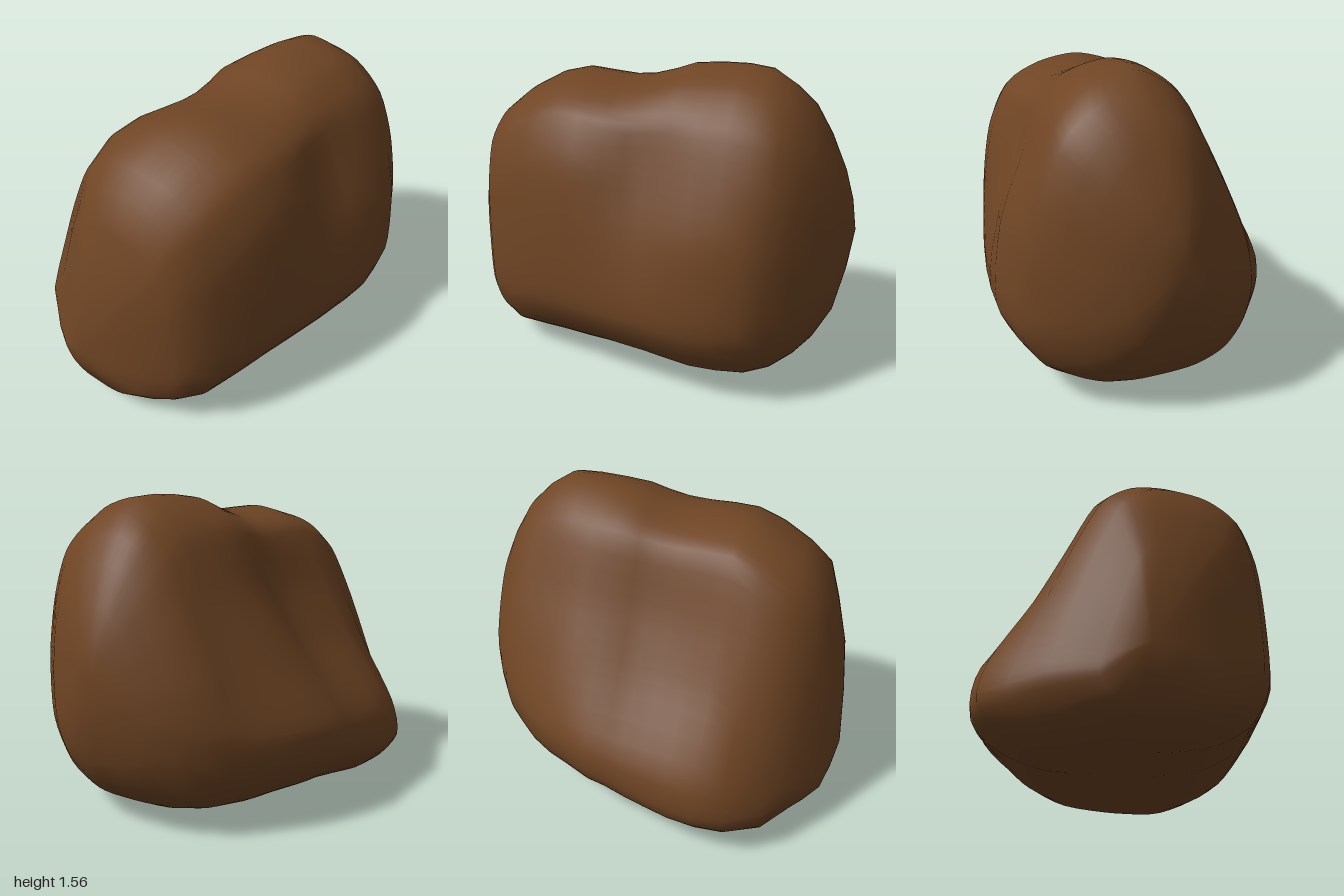
import * as THREE from 'three';

// Slices from front to back: z, left x, right x, bottom y, top y
const SLICES = [
  [0.975, -0.2, 0.08, 0.24, 0.64],
  [0.94, -0.29, 0.23, 0.12, 0.88],
  [0.87, -0.41, 0.38, 0.08, 1.09],
  [0.81, -0.49, 0.46, 0.05, 1.26],
  [0.7, -0.64, 0.53, 0, 1.35],
  [0.54, -0.75, 0.6, 0.005, 1.435],
  [0.4, -0.77, 0.645, 0.01, 1.475],
  [0.27, -0.765, 0.68, 0.02, 1.47],
  [0.14, -0.755, 0.715, 0.04, 1.465],
  [0.03, -0.745, 0.74, 0.05, 1.475],
  [-0.08, -0.73, 0.755, 0.055, 1.505],
  [-0.18, -0.72, 0.765, 0.05, 1.54],
  [-0.32, -0.66, 0.765, 0.04, 1.555],
  [-0.45, -0.6, 0.745, 0.035, 1.56],
  [-0.57, -0.53, 0.725, 0.045, 1.55],
  [-0.68, -0.45, 0.67, 0.08, 1.48],
  [-0.77, -0.38, 0.56, 0.13, 1.39],
  [-0.85, -0.28, 0.47, 0.22, 1.26],
  [-0.93, -0.16, 0.34, 0.36, 1.08],
  [-0.975, -0.03, 0.21, 0.57, 0.93],
];

// Outlines of the front end, both humps and the back end,
// as fractions of a slice's width (-1..1) and height (0..1)
const NOSE = [[0.2, 1], [-0.08, 0.985], [-0.32, 0.91], [-0.54, 0.72], [-0.74, 0.5], [-0.92, 0.29],
  [-1, 0.16], [-0.8, 0.05], [-0.45, 0], [0.08, 0], [0.5, 0.03], [0.82, 0.11], [1, 0.26],
  [1.01, 0.5], [0.97, 0.72], [0.83, 0.89], [0.54, 0.975]];
const FRONT = [[0.23, 1], [-0.04, 0.97], [-0.21, 0.915], [-0.4, 0.71], [-0.62, 0.52], [-0.96, 0.3],
  [-1, 0.15], [-0.8, 0.05], [-0.48, 0], [0.08, 0], [0.5, 0.03], [0.8, 0.12], [1, 0.28],
  [0.99, 0.55], [0.92, 0.76], [0.76, 0.91], [0.52, 0.975]];
const BACK = [[0.1, 1], [-0.13, 0.96], [-0.33, 0.88], [-0.55, 0.685], [-0.78, 0.5], [-1, 0.3],
  [-0.97, 0.18], [-0.78, 0.08], [-0.48, 0.02], [0, 0], [0.4, 0.01], [0.8, 0.09], [1, 0.25],
  [0.97, 0.52], [0.84, 0.7], [0.67, 0.86], [0.42, 0.96]];
const TAIL = [[0.08, 1], [-0.2, 0.96], [-0.45, 0.85], [-0.7, 0.68], [-0.92, 0.48], [-1, 0.31],
  [-0.92, 0.16], [-0.72, 0.06], [-0.4, 0.01], [0, 0], [0.4, 0.01], [0.77, 0.09], [0.97, 0.24],
  [1, 0.46], [0.92, 0.7], [0.75, 0.87], [0.45, 0.97]];

const SIDES = 68;
const { smoothstep, clamp } = THREE.MathUtils;

function outline(points) {
  const corners = points.map(([u, v]) => new THREE.Vector3(u, v, 0));
  const curve = new THREE.CatmullRomCurve3(corners, true, 'catmullrom', 0.4);
  return Array.from({ length: SIDES }, (_, j) => curve.getPoint(j / SIDES));
}

function boulderGeometry() {
  const [nose, front, back, tail] = [NOSE, FRONT, BACK, TAIL].map(outline);
  const positions = [], index = [];

  for (const [z, x0, x1, y0, y1] of SLICES) {
    // Valley between the two humps
    const valley = Math.exp(-(((z + 0.06) / 0.25) ** 2));
    for (let j = 0; j < SIDES; j++) {
      const p = nose[j].clone()
        .lerp(front[j], smoothstep(-z, -0.75, -0.35))
        .lerp(back[j], smoothstep(-z, -0.3, 0.4))
        .lerp(tail[j], smoothstep(-z, 0.5, 0.8));
      const v = clamp(p.y, 0, 1);
      let x = (x0 + x1) / 2 + p.x * (x1 - x0) / 2;
      const depth = x > 0.1 ? 0.17 : 0.11;
      x += (0.1 - x) * depth * valley * Math.sin(Math.PI * v ** 2.4);
      positions.push(x, y0 + v * (y1 - y0), z);
    }
  }

  // Skin between the slices
  for (let i = 0; i < SLICES.length - 1; i++) {
    for (let j = 0; j < SIDES; j++) {
      const k = (j + 1) % SIDES;
      const a = i * SIDES + j, b = i * SIDES + k, c = a + SIDES, d = b + SIDES;
      index.push(a, c, b, b, c, d);
    }
  }

  // Close the front and back ends
  const frontPole = SLICES.length * SIDES, backPole = frontPole + 1;
  const last = (SLICES.length - 1) * SIDES;
  positions.push(-0.09, 0.37, 1, 0.09, 0.77, -1);
  for (let j = 0; j < SIDES; j++) {
    const k = (j + 1) % SIDES;
    index.push(frontPole, j, k, backPole, last + k, last + j);
  }

  const geometry = new THREE.BufferGeometry();
  geometry.setAttribute('position', new THREE.Float32BufferAttribute(positions, 3));
  geometry.setIndex(index);
  geometry.computeVertexNormals();
  return geometry;
}

export function createModel() {
  const group = new THREE.Group();
  group.name = 'rock';
  const brown = new THREE.MeshStandardMaterial({ color: 0x6f4524 });
  brown.name = 'earthBrown';
  const boulder = new THREE.Mesh(boulderGeometry(), brown);
  boulder.name = 'boulder';
  group.add(boulder);
  return group;
}
